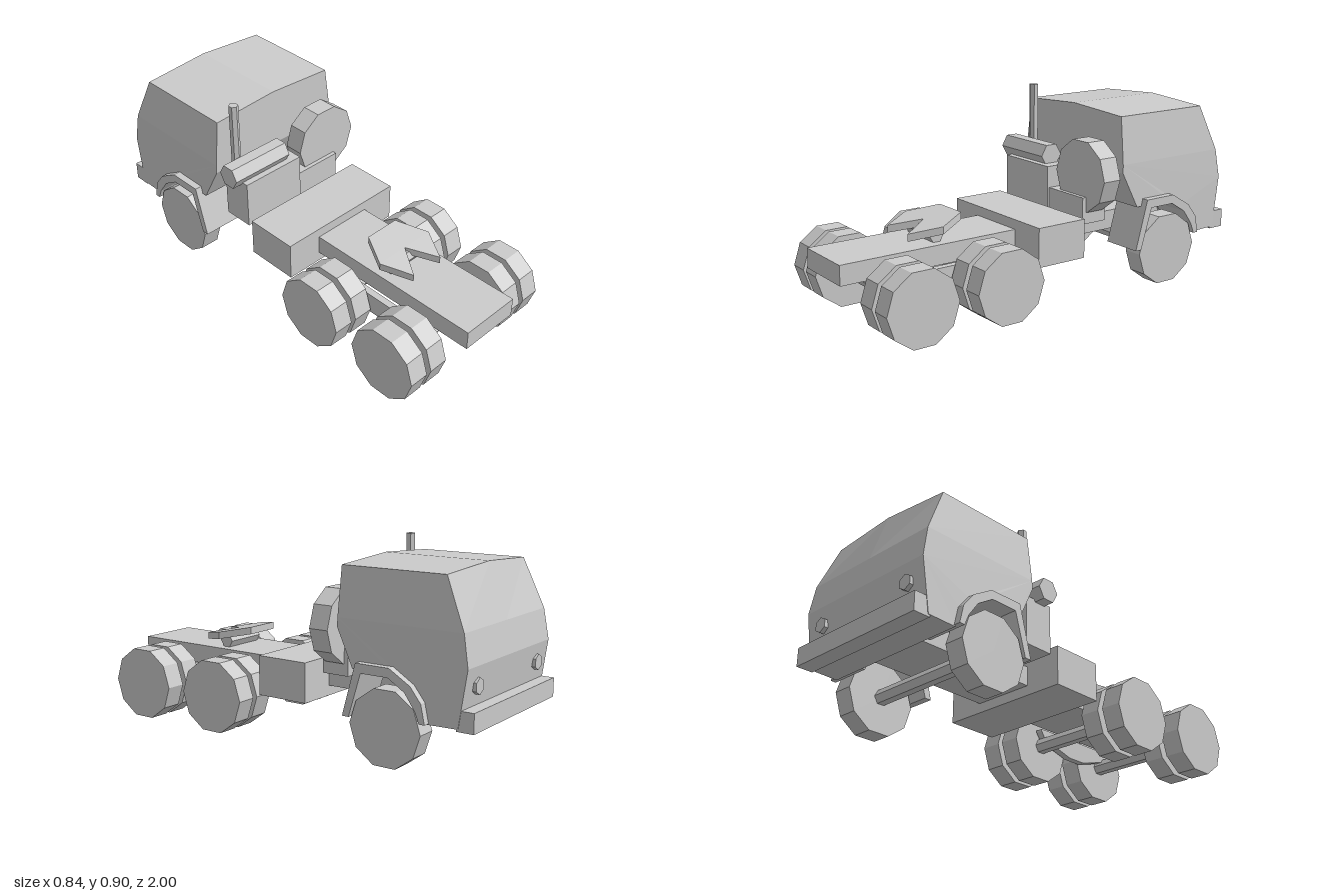
import * as THREE from 'three';

const material = new THREE.MeshStandardMaterial({ color: 0xcccccc, flatShading: true });

export function createModel() {
  const truck = new THREE.Group();
  truck.name = 'tractorTruck';

  const add = (name, geometry, x = 0, y = 0, z = 0) => {
    const mesh = new THREE.Mesh(geometry, material);
    mesh.name = name;
    mesh.position.set(x, y, z);
    truck.add(mesh);
    return mesh;
  };

  // Box given by its limits on each axis
  const box = (name, x0, x1, y0, y1, z0, z1) =>
    add(name, new THREE.BoxGeometry(x1 - x0, y1 - y0, z1 - z0),
      (x0 + x1) / 2, (y0 + y1) / 2, (z0 + z1) / 2);

  // Cylinder lying along x, flat side up
  const roller = (radius, width, sides) =>
    new THREE.CylinderGeometry(radius, radius, width, sides).rotateZ(Math.PI / 2);

  // Side profile of [z, y] points, extruded along x and centred on x = 0
  const sideProfile = (points, width, steps = 1) => {
    const shape = new THREE.Shape(points.map(([z, y]) => new THREE.Vector2(z, y)));
    return new THREE.ExtrudeGeometry(shape, { depth: width, steps, bevelEnabled: false })
      .translate(0, 0, -width / 2).rotateY(-Math.PI / 2);
  };

  // Cab: sides lean inwards towards a slightly crowned roof
  const cabHalfWidth = (y) => y > 0.6
    ? THREE.MathUtils.mapLinear(y, 0.6, 0.82, 0.363, 0.338)
    : THREE.MathUtils.mapLinear(y, 0.39, 0.6, 0.373, 0.363);
  const cabSection = (name, points) => {
    const geometry = sideProfile(points, 2, 2);
    const p = geometry.attributes.position;
    for (let i = 0; i < p.count; i++) {
      const y = p.getY(i), x = p.getX(i);
      p.setX(i, x * Math.min(cabHalfWidth(y), 0.373));
      if (y > 0.8 && Math.abs(x) < 0.01) {
        p.setY(i, y + 0.02);
        if (p.getZ(i) < -0.6) p.setZ(i, p.getZ(i) - 0.008);
      }
    }
    geometry.computeVertexNormals();
    add(name, geometry);
  };
  cabSection('cabUpper', [[-0.345, 0.82], [-0.848, 0.82], [-0.943, 0.6], [-0.341, 0.6]]);
  cabSection('cabLower', [
    [-0.341, 0.6], [-0.943, 0.6], [-0.967, 0.46], [-0.93, 0.213], [-0.79, 0.21],
    [-0.765, 0.3], [-0.715, 0.36], [-0.625, 0.4], [-0.425, 0.39], [-0.34, 0.56],
  ]);
  box('bumper', -0.37, 0.37, 0.203, 0.29, -1, -0.92);

  // Frame and the parts mounted behind the cab
  box('chassis', -0.15, 0.15, 0.233, 0.324, -0.92, 1);
  box('fuelTank', -0.33, 0.33, 0.187, 0.37, -0.145, 0.115);
  box('equipmentBox', -0.32, 0.01, 0.32, 0.55, -0.33, -0.18);
  box('spareWheelCarrier', 0.01, 0.26, 0.32, 0.447, -0.325, -0.19);
  add('muffler', roller(0.058, 0.324, 6), -0.21, 0.588, -0.247);
  add('exhaustStack', new THREE.CylinderGeometry(0.0225, 0.0225, 0.58, 6), -0.27, 0.61, -0.308);
  add('spareWheel', roller(0.173, 0.095, 10).rotateY(Math.PI / 2), 0.213, 0.54, -0.257);

  // Axles
  const wheelY = 0.1645;
  for (const z of [-0.6, 0.328, 0.767]) add('axle', roller(0.036, 0.7, 6), 0, wheelY, z);

  // Parts mirrored on both sides
  const mudguard = [
    [-0.395, 0.19], [-0.46, 0.426], [-0.625, 0.426], [-0.727, 0.365], [-0.778, 0.3], [-0.797, 0.215],
    [-0.77, 0.215], [-0.75, 0.265], [-0.7, 0.335], [-0.62, 0.385], [-0.487, 0.385], [-0.428, 0.19],
  ];
  const spring = [
    [0.29, 0.236], [0.8, 0.236], [0.8, 0.225], [0.775, 0.19], [0.6, 0.14], [0.495, 0.14], [0.315, 0.19], [0.29, 0.225],
  ];
  for (const side of [-1, 1]) {
    add('frontWheel', roller(0.173, 0.095, 10), side * 0.348, wheelY, -0.6);
    for (const z of [0.328, 0.767]) {
      add('innerRearWheel', roller(0.173, 0.095, 10), side * 0.253, wheelY, z);
      add('outerRearWheel', roller(0.173, 0.095, 10), side * 0.374, wheelY, z);
    }
    add('mudguard', sideProfile(mudguard, 0.2), side * 0.305);
    add('leafSpring', sideProfile(spring, 0.034), side * 0.18);
    const lamp = new THREE.CylinderGeometry(0.036, 0.036, 0.03, 6).rotateX(Math.PI / 2);
    add('headlight', lamp, side * 0.27, 0.375, -0.955);
  }

  // Coupling plate: notched outline, tilted down towards the rear by a shear
  const outline = [
    [-0.087, 0.365], [0.087, 0.365], [0.16, 0.505], [0.087, 0.64], [0, 0.505], [-0.087, 0.64], [-0.16, 0.505],
  ];
  const plate = new THREE.ExtrudeGeometry(
    new THREE.Shape(outline.map(([x, z]) => new THREE.Vector2(x, -z))),
    { depth: 0.034, bevelEnabled: false }).rotateX(-Math.PI / 2);
  const p = plate.attributes.position;
  for (let i = 0; i < p.count; i++) p.setY(i, p.getY(i) + 0.399 - 0.2 * (p.getZ(i) - 0.365));
  plate.computeVertexNormals();
  add('couplingPlate', plate);
  add('couplingPivot', roller(0.036, 0.21, 6), 0, 0.355, 0.505);

  return truck;
}
